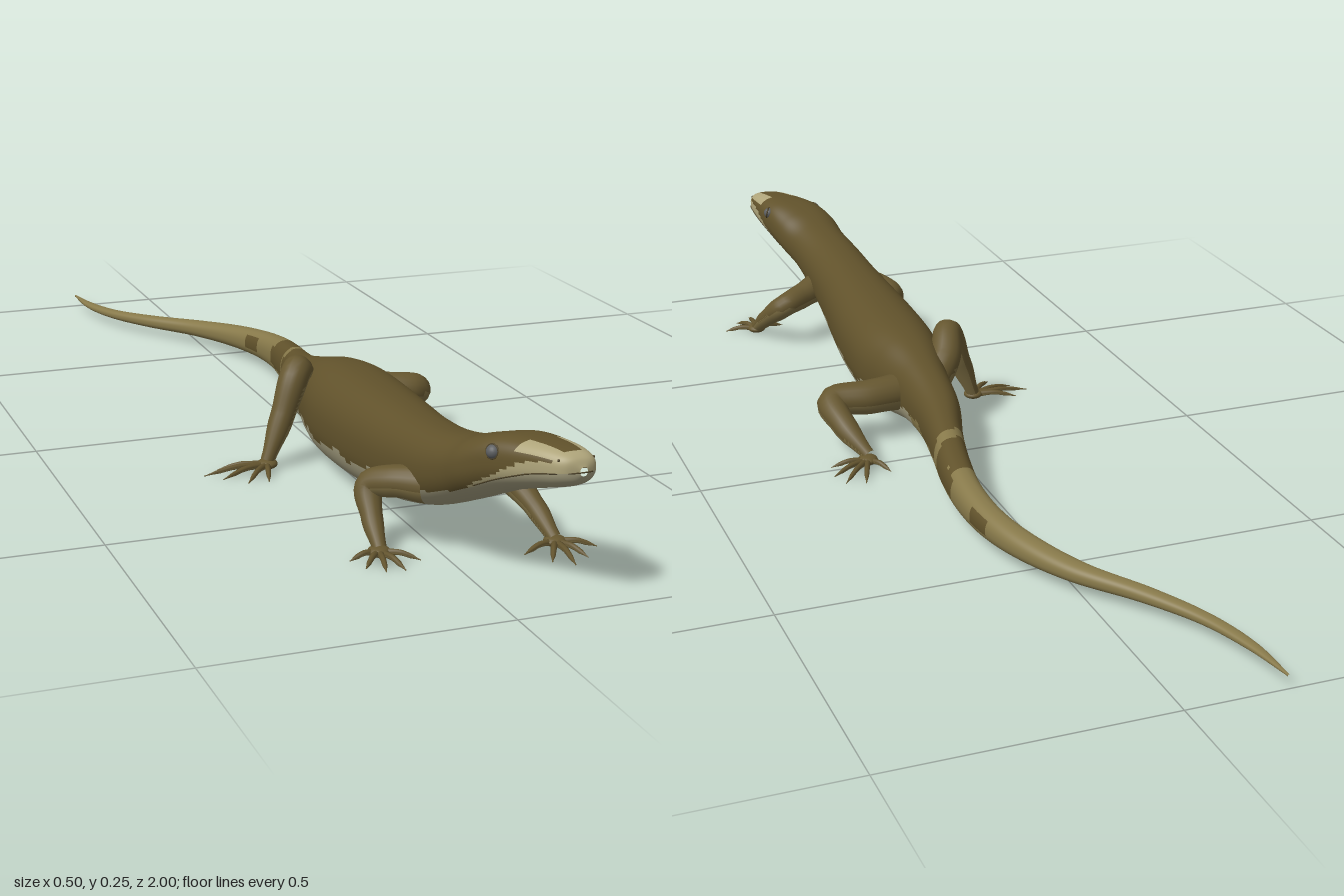
import * as THREE from 'three';

const mat = (name, color) => Object.assign(new THREE.MeshStandardMaterial({ color }), { name });
const { lerp, smoothstep } = THREE.MathUtils;

export function createModel() {
  const model = new THREE.Group();
  model.name = 'lizard';
  const back = mat('back brown', 0x61522b);
  const belly = mat('belly grey', 0xa09a7c);
  const tan = mat('tail tan', 0x87794a);
  const pale = mat('lip pale', 0xaea47a);
  const limbTop = mat('limb brown', 0x665730);
  const limbUnder = mat('limb underside tan', 0x7c6d42);
  const toeBrown = mat('toe brown', 0x63542e);
  const eyeGrey = mat('eye grey', 0x5c5e60);
  const dark = mat('dark line', 0x4a3f25);

  const add = (name, geometry, material, parent = model) => {
    const mesh = new THREE.Mesh(geometry, material);
    mesh.name = name;
    parent.add(mesh);
    return mesh;
  };
  // Splits an index into one group per material
  const setFaces = (geo, faces) => {
    geo.setIndex(faces.flat());
    geo.clearGroups();
    let start = 0;
    faces.forEach((f, m) => { geo.addGroup(start, f.length, m); start += f.length; });
  };

  // Body sections: z, centre x, half width, top y, bottom y
  const sections = [
    [1.0, 0.1, 0.006, 0.23, 0.216], [0.992, 0.097, 0.026, 0.243, 0.203], [0.975, 0.092, 0.037, 0.25, 0.193],
    [0.94, 0.08, 0.048, 0.254, 0.181], [0.88, 0.057, 0.061, 0.253, 0.16], [0.83, 0.038, 0.066, 0.239, 0.136],
    [0.78, 0.026, 0.061, 0.222, 0.112], [0.7, 0.016, 0.064, 0.208, 0.078], [0.6, 0.015, 0.069, 0.2, 0.049],
    [0.5, 0.018, 0.077, 0.197, 0.03], [0.38, 0.023, 0.085, 0.194, 0.016], [0.26, 0.027, 0.086, 0.19, 0.01],
    [0.18, 0.026, 0.072, 0.181, 0.015], [0.1, 0.025, 0.053, 0.16, 0.026], [0, 0.029, 0.043, 0.135, 0.025],
    [-0.1, 0.05, 0.033, 0.116, 0.022], [-0.2, 0.07, 0.03, 0.1, 0.021], [-0.3, 0.081, 0.027, 0.087, 0.02],
    [-0.4, 0.075, 0.026, 0.075, 0.019], [-0.5, 0.047, 0.026, 0.064, 0.019], [-0.6, -0.003, 0.024, 0.053, 0.019],
    [-0.7, -0.077, 0.019, 0.045, 0.019], [-0.8, -0.135, 0.014, 0.038, 0.019], [-0.9, -0.166, 0.01, 0.033, 0.02],
    [-1.0, -0.177, 0.002, 0.028, 0.024],
  ];
  const spline = (f) => new THREE.CatmullRomCurve3(sections.map(f), false, 'catmullrom', 0.5);
  const plan = spline((s) => new THREE.Vector3(s[1], s[2], s[0]));
  const side = spline((s) => new THREE.Vector3(s[3], s[4], s[0]));
  const bulge = (v, e) => Math.sign(v) * Math.pow(Math.abs(v), e);

  // Point on the skin at spine parameter t and angle a (0 = left, PI / 2 = top); the skull is flatter on top
  function skin(t, a) {
    const p = plan.getPoint(t), q = side.getPoint(t), s = Math.sin(a);
    const e = s > 0 ? lerp(0.88, 0.72, smoothstep(p.z, 0.8, 0.88)) : 0.88;
    return new THREE.Vector3(
      p.x + Math.max(p.y, 0.001) * bulge(Math.cos(a), e),
      (q.x + q.y) / 2 + ((q.x - q.y) / 2) * bulge(s, e),
      p.z,
    );
  }
  // Spine parameter for a given z
  function paramAt(z) {
    const i = Math.max(1, sections.findIndex((s) => s[0] <= z));
    const [z0, z1] = [sections[i - 1][0], sections[i][0]];
    return (i - 1 + (z0 - z) / (z0 - z1)) / (sections.length - 1);
  }
  // Angle of the mouth below the side of the head
  const mouthAngle = (z) => lerp(0.65, 0.12, smoothstep(z, 0.84, 0.985));

  // Markings: 0 back, 1 belly, 2 tan, 3 pale
  function marking(z, a) {
    const s = Math.sin(a), c = Math.cos(a);
    const wave = 0.06 * Math.sin(z * 37) + 0.04 * Math.sin(z * 83 + c);
    if (z > 0.84) {
      const lip = -Math.sin(mouthAngle(z));
      if (s < lip) return 1;
      if (z > 0.978 || s < lip + lerp(0.08, 0.4, smoothstep(z, 0.85, 0.96))) return 3;
      return z > 0.925 && Math.abs(c) > 0.3 && s > 0.45 ? 3 : 0;
    }
    if (z > 0.05) return s < lerp(-0.28, -0.58, smoothstep(z, 0.58, 0.76)) + wave ? 1 : 0;
    if (z > -0.2 + wave) return s < -0.25 + wave * 2 ? 2 : 0;
    return z > -0.42 && s > -0.3 && s < 0.6 && Math.sin(z * 45) > 0.3 ? 0 : 2;
  }

  // Head, trunk and tail as one smooth skin
  const rings = 264, sides = 64;
  const positions = [], faces = [[], [], [], []];
  for (let i = 0; i <= rings; i++) {
    for (let j = 0; j < sides; j++) {
      const a = (j / sides) * Math.PI * 2;
      const p = skin(i / rings, a);
      positions.push(p.x, p.y, p.z);
      if (i === rings) continue;
      const k = (j + 1) % sides;
      const A = i * sides + j, B = A + sides, C = i * sides + k, D = C + sides;
      faces[marking(p.z, a + Math.PI / sides)].push(A, B, C, B, D, C);
    }
  }
  const bodyGeo = new THREE.BufferGeometry();
  bodyGeo.setAttribute('position', new THREE.Float32BufferAttribute(positions, 3));
  setFaces(bodyGeo, faces);
  bodyGeo.computeVertexNormals();
  add('body', bodyGeo, [back, belly, tan, pale]);

  // Mouth line around the snout
  const mouthPath = [];
  for (const sign of [-1, 1]) {
    for (let i = 0; i <= 8; i++) {
      const z = 0.85 + 0.147 * (sign < 0 ? i / 8 : 1 - i / 8);
      mouthPath.push(skin(paramAt(z), sign < 0 ? Math.PI + mouthAngle(z) : -mouthAngle(z)));
    }
  }
  add('mouth', new THREE.TubeGeometry(new THREE.CatmullRomCurve3(mouthPath), 72, 0.0012, 6), dark);

  // Eyes, lids and nostrils
  for (const sign of [-1, 1]) {
    const label = sign > 0 ? 'left' : 'right';
    const onHead = (z, a) => skin(paramAt(z), sign > 0 ? a : Math.PI - a);
    const eye = add(label + 'Eye', new THREE.SphereGeometry(0.0115, 20, 14), eyeGrey);
    eye.position.copy(onHead(0.886, 0.34)).add(new THREE.Vector3(-sign * 0.005, 0, 0));
    const facing = new THREE.Vector3(sign, 0.25, 0.5).normalize();
    const lid = add(label + 'Eyelid', new THREE.TorusGeometry(0.0112, 0.0016, 8, 24), dark);
    lid.position.copy(eye.position).addScaledVector(facing, 0.003);
    lid.lookAt(lid.position.clone().add(facing));
    const nostril = add(label + 'Nostril', new THREE.SphereGeometry(0.0022, 10, 8), dark);
    nostril.position.copy(onHead(0.982, 0.6));
  }

  // Tapered tube through points, with one radius per point; group 0 is its upper side, group 1 its underside
  function limb(points, radii, segments, radial) {
    const curve = new THREE.CatmullRomCurve3(points.map((p) => new THREE.Vector3(...p)));
    const geo = new THREE.TubeGeometry(curve, segments, 1, radial);
    const pos = geo.attributes.position, v = new THREE.Vector3();
    for (let i = 0; i <= segments; i++) {
      const centre = curve.getPointAt(i / segments);
      const f = (i / segments) * (radii.length - 1), k = Math.min(Math.floor(f), radii.length - 2);
      const r = lerp(radii[k], radii[k + 1], smoothstep(f - k, 0, 1));
      for (let j = 0; j <= radial; j++) {
        const n = i * (radial + 1) + j;
        v.fromBufferAttribute(pos, n).sub(centre).multiplyScalar(r).add(centre);
        pos.setXYZ(n, v.x, v.y, v.z);
      }
    }
    const split = [[], []], index = geo.index.array, normal = geo.attributes.normal;
    for (let i = 0; i < index.length; i += 3) {
      const tri = [...index.slice(i, i + 3)];
      split[tri.reduce((sum, n) => sum + normal.getY(n), 0) < -0.3 ? 1 : 0].push(...tri);
    }
    setFaces(geo, split);
    return geo;
  }

  // Legs: path from body to ankle, radii, palm centre and toe tips (x, z)
  const frontRadii = [0.032, 0.027, 0.024, 0.018, 0.012];
  const legs = [
    { name: 'leftFrontLeg', path: [[0.05, 0.115, 0.7], [0.1, 0.103, 0.675], [0.147, 0.092, 0.655], [0.173, 0.056, 0.695], [0.186, 0.015, 0.748]],
      radii: frontRadii, palm: [0.186, 0.75],
      toes: [[0.122, 0.77], [0.15, 0.815], [0.18, 0.838], [0.214, 0.815], [0.25, 0.775]] },
    { name: 'rightFrontLeg', path: [[-0.02, 0.118, 0.7], [-0.062, 0.114, 0.66], [-0.09, 0.1, 0.63], [-0.096, 0.056, 0.655], [-0.098, 0.015, 0.695]],
      radii: frontRadii, palm: [-0.1, 0.697],
      toes: [[-0.152, 0.702], [-0.14, 0.742], [-0.114, 0.765], [-0.082, 0.768], [-0.043, 0.735]] },
    { name: 'leftHindLeg', path: [[0.04, 0.09, 0.13], [0.13, 0.09, 0.118], [0.202, 0.086, 0.125], [0.198, 0.06, 0.07], [0.168, 0.017, 0.012]],
      radii: [0.038, 0.034, 0.031, 0.024, 0.013], palm: [0.172, 0.005],
      toes: [[0.142, -0.045], [0.202, -0.078], [0.238, -0.066], [0.25, -0.03], [0.243, 0.012]] },
    { name: 'rightHindLeg', path: [[0.01, 0.09, 0.12], [-0.035, 0.135, 0.145], [-0.062, 0.168, 0.2], [-0.095, 0.095, 0.22], [-0.128, 0.017, 0.232]],
      radii: [0.036, 0.031, 0.027, 0.022, 0.013], palm: [-0.13, 0.235],
      toes: [[-0.216, 0.212], [-0.25, 0.238], [-0.224, 0.268], [-0.188, 0.302], [-0.15, 0.305]] },
  ];
  for (const { name, path, radii, palm, toes } of legs) {
    const leg = new THREE.Group();
    leg.name = name;
    model.add(leg);
    add('limb', limb(path, radii, 36, 18), [limbTop, limbUnder], leg);
    const foot = add('foot', new THREE.SphereGeometry(1, 18, 12), limbTop, leg);
    foot.scale.set(0.019, 0.009, 0.019);
    foot.position.set(palm[0], 0.012, palm[1]);
    for (const [x, z] of toes) {
      const at = (u, y) => [lerp(palm[0], x, u), y, lerp(palm[1], z, u)];
      const toe = limb([at(0.1, 0.011), at(0.5, 0.013), at(0.78, 0.008), at(1, 0.003)], [0.0065, 0.0052, 0.0044, 0.0008], 14, 8);
      add('toe', toe, [toeBrown, limbUnder], leg);
    }
  }
  return model;
}
